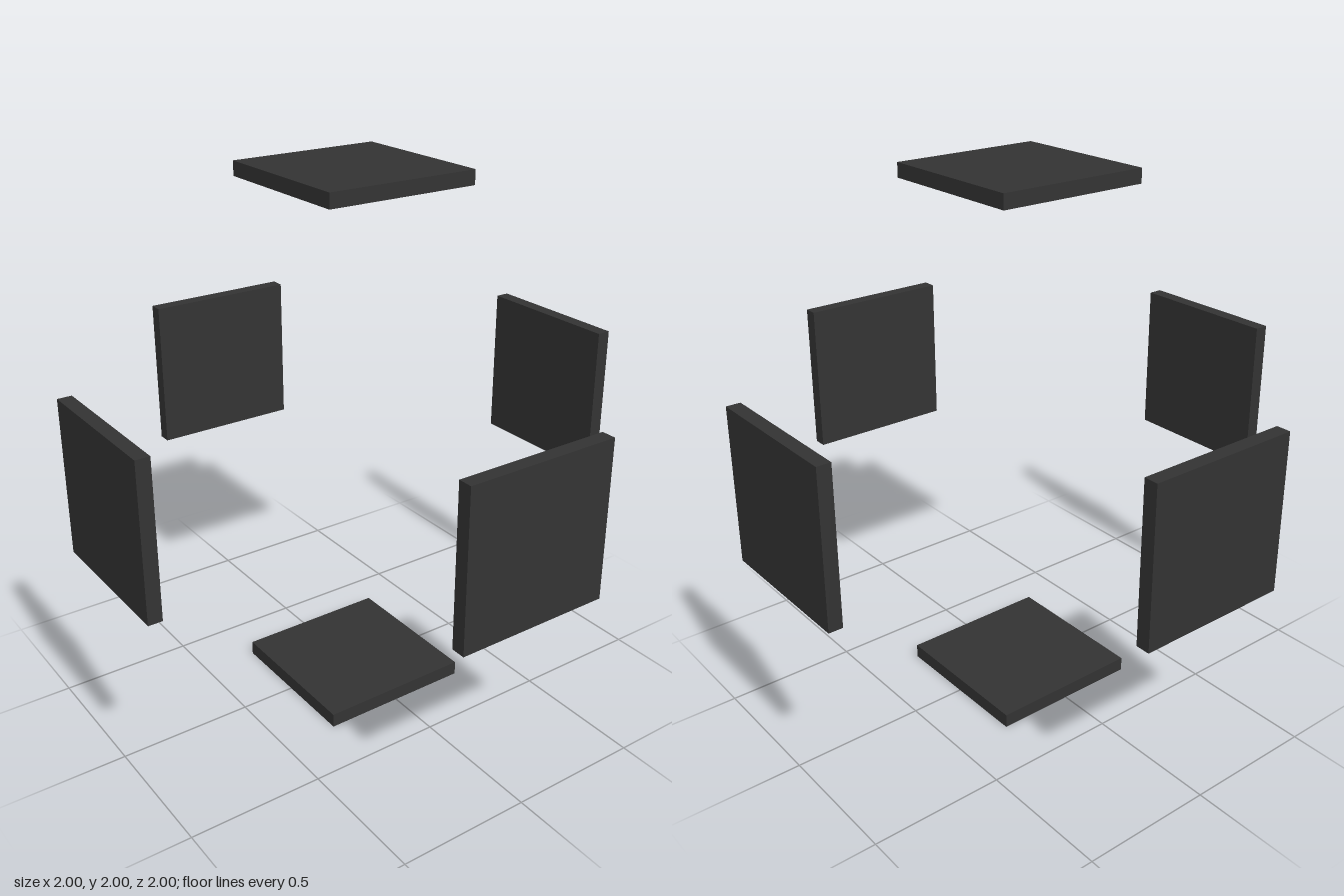
import * as THREE from 'three';

const SIZE = 0.583;
const THICKNESS = 0.053;

export function createModel() {
  const model = new THREE.Group();
  model.name = 'floatingPanels';
  const material = new THREE.MeshStandardMaterial({ color: 0x333333 });

  // Six square panels, one facing each axis direction
  const panels = [
    ['leftPanel', 1, 0, 0], ['rightPanel', -1, 0, 0],
    ['topPanel', 0, 1, 0], ['bottomPanel', 0, -1, 0],
    ['frontPanel', 0, 0, 1], ['backPanel', 0, 0, -1],
  ];
  const offset = 1 - THICKNESS / 2;
  for (const [name, ...dir] of panels) {
    const dims = dir.map((d) => (d ? THICKNESS : SIZE));
    const panel = new THREE.Mesh(new THREE.BoxGeometry(...dims), material);
    panel.name = name;
    panel.position.set(dir[0] * offset, 1 + dir[1] * offset, dir[2] * offset);
    model.add(panel);
  }
  return model;
}
